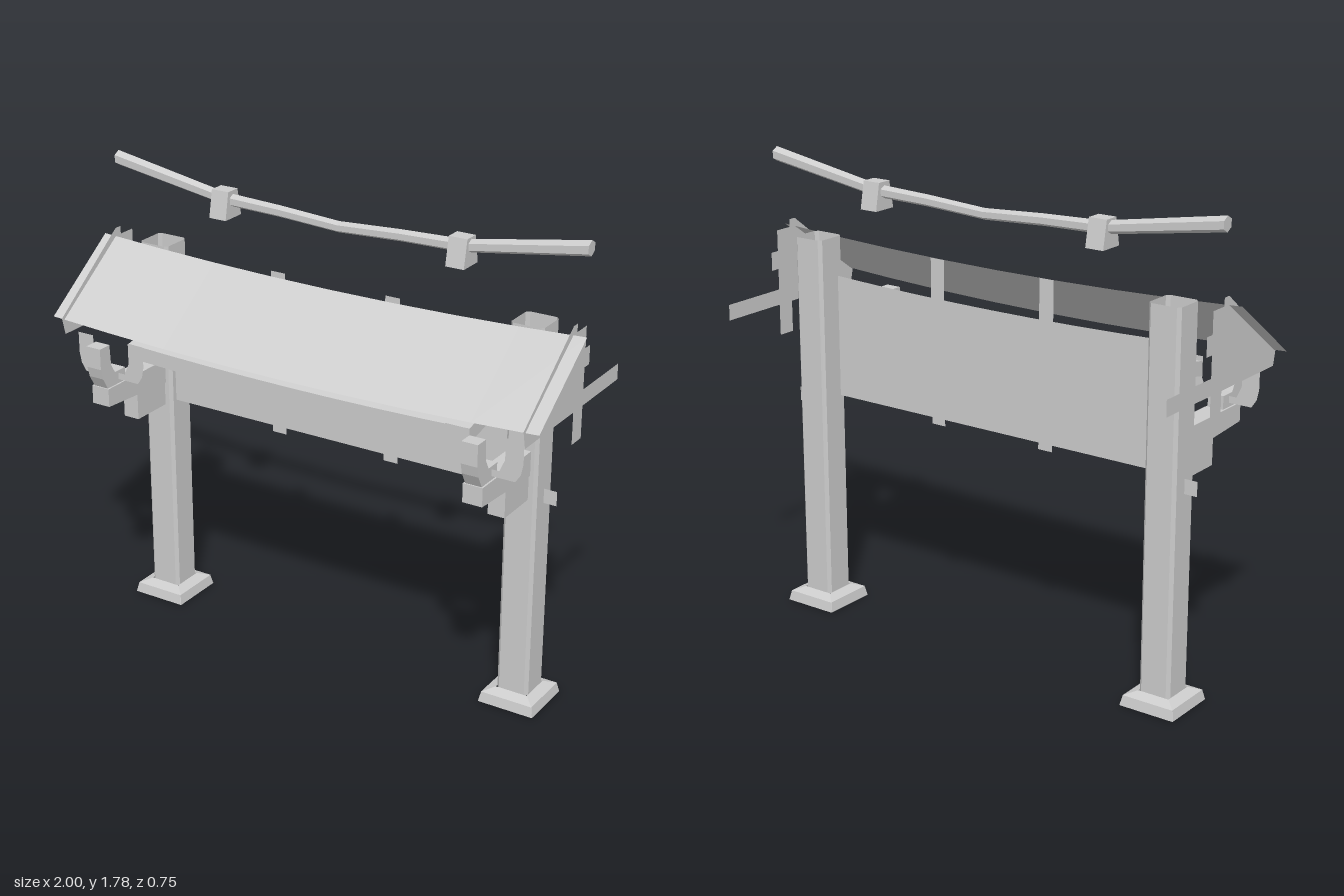
import * as THREE from 'three';

const stone = new THREE.MeshStandardMaterial({ color: 0xcccccc, side: THREE.DoubleSide, flatShading: true });
stone.name = 'plain grey';

// Roof line dips toward the middle
const sag = (x) => -0.03 * (1 - x * x);

function mesh(name, g) {
  const m = new THREE.Mesh(g, stone);
  m.name = name;
  return m;
}

// Skin a list of point rings; optionally close each ring and cap the ends
function loft(name, rings, closed = true, caps = true) {
  const pos = [];
  const n = rings[0].length;
  for (let i = 0; i < rings.length - 1; i++) {
    for (let j = 0; j < (closed ? n : n - 1); j++) {
      const k = (j + 1) % n;
      const a = rings[i][j], b = rings[i][k], c = rings[i + 1][k], d = rings[i + 1][j];
      pos.push(...a, ...b, ...c, ...a, ...c, ...d);
    }
  }
  if (caps) {
    const last = rings[rings.length - 1];
    for (let j = 1; j < n - 1; j++) {
      pos.push(...rings[0][0], ...rings[0][j + 1], ...rings[0][j]);
      pos.push(...last[0], ...last[j], ...last[j + 1]);
    }
  }
  const g = new THREE.BufferGeometry();
  g.setAttribute('position', new THREE.Float32BufferAttribute(pos, 3));
  g.computeVertexNormals();
  return mesh(name, g);
}

const shapeOf = (pts) => new THREE.Shape(pts.map((p) => new THREE.Vector2(p[0], p[1])));

// Flat plate in the xy plane
function frontPlate(name, pts, z) {
  const m = mesh(name, new THREE.ShapeGeometry(shapeOf(pts)));
  m.position.z = z;
  return m;
}

// Side profile of [z, y] points, centred on x with a width (0 = flat plate)
function sidePart(name, pts, x, width) {
  const s = shapeOf(pts.map(([z, y]) => [-z, y]));
  const g = width
    ? new THREE.ExtrudeGeometry(s, { depth: width, bevelEnabled: false })
    : new THREE.ShapeGeometry(s);
  g.translate(0, 0, -width / 2);
  g.rotateY(Math.PI / 2);
  g.translate(x, 0, 0);
  return mesh(name, g);
}

// Strip along x from [z, y] profile points, following the dip
function sagStrip(name, profile, half, closed) {
  const rings = [];
  for (let i = 0; i <= 8; i++) {
    const x = half * (1 - i / 4);
    rings.push(profile.map(([z, y]) => [x, y + sag(x), z]));
  }
  return loft(name, rings, closed, closed);
}

// Square ring with chamfered corners
function squareRing(x, y, z, h, c) {
  const k = h - c;
  return [[h, k], [k, h], [-k, h], [-h, k], [-h, -k], [-k, -h], [k, -h], [h, -k]]
    .map(([a, b]) => [x + a, y, z + b]);
}

const rect = (x0, x1, y0, y1) => [[x0, y0], [x1, y0], [x1, y1], [x0, y1]];

const PZ = -0.063; // post centre line

const gable = [
  [0.335, 1.245], [0, 1.5], [-0.03, 1.5], [-0.03, 1.47], [-0.1, 1.47], [-0.1, 1.39],
  [-0.135, 1.39], [-0.135, 1.32], [-0.1, 1.32], [-0.1, 1.24], [-0.375, 1.24], [-0.375, 1.18],
  [-0.1, 1.18], [-0.1, 1.06], [-0.03, 1.06], [-0.03, 1.18], [0.32, 1.18],
];
const hook = [
  [0.375, 1.18], [0.32, 1.18], [0.315, 1.1], [0.295, 1.065], [0.235, 1.065],
  [0.235, 1.015], [0.34, 1.015], [0.365, 1.06], [0.375, 1.1],
];
const cradleHalf = [[0.12, 1.03], [0.14, 1.06], [0.148, 1.1], [0.148, 1.18], [0.08, 1.18], [0.08, 1.1], [0.06, 1.055]];
const cradle = [...cradleHalf, ...cradleHalf.map(([x, y]) => [-x, y]).reverse()];

function buildSide(s) {
  const side = new THREE.Group();
  side.name = s > 0 ? 'leftSide' : 'rightSide';
  const px = s * 0.777;

  // Hollow post and its open footing
  side.add(loft('post', [squareRing(px, 0.05, PZ, 0.0625, 0.012), squareRing(px, 1.467, PZ, 0.0625, 0.012)], true, false));
  const foot = (y, h) => squareRing(px, y, PZ, h, 0.001);
  side.add(loft('footing', [foot(0, 0.11), foot(0.038, 0.102), foot(0.053, 0.0625)], true, false));

  // Gable plate with cross bar
  side.add(sidePart('gable', gable, s * 0.95, 0));

  // Stacked bracket in front of the post
  side.add(sidePart('lowerArm', [[0, 0.83], [0.17, 0.83], [0.17, 0.935], [0, 0.925]], px, 0.065));
  side.add(sidePart('upperArm', [[0, 0.922], [0.345, 0.945], [0.345, 1.015], [0, 1.015]], px, 0.075));
  side.add(sidePart('hook', hook, px, 0.062));
  side.add(frontPlate('cradle', cradle.map(([x, y]) => [px + x, y]), 0.275));

  // Tenon past the post and wall tabs
  side.add(frontPlate('tenon', rect(s * 0.835, s * 0.89, 0.8, 0.855), PZ));
  side.add(frontPlate('lowerTab', rect(s * 0.21, s * 0.27, 0.82, 0.845), -0.03));
  side.add(frontPlate('upperTab', rect(s * 0.21, s * 0.27, 1.295, 1.452), -0.03));

  // Tapered ridge saddle, open below
  const saddle = (y, h) => [[-0.036, -h], [-0.036, h], [0.036, h], [0.036, -h]]
    .map(([a, b]) => [s * 0.49 + a, y, PZ + b]);
  side.add(loft('ridgeSaddle', [saddle(1.61, 0.049), saddle(1.713, 0.029)], true, false));
  const top = mesh('saddleTop', new THREE.PlaneGeometry(0.072, 0.058).rotateX(-Math.PI / 2));
  top.position.set(s * 0.49, 1.713, PZ);
  side.add(top);
  return side;
}

export function createModel() {
  const gate = new THREE.Group();
  gate.name = 'gate';
  gate.add(buildSide(1), buildSide(-1));

  // Single sloping roof sheet
  gate.add(sagStrip('roof', [[0, 1.471], [0.322, 1.24]], 1, false));

  // Wedge-shaped eave board under the roof
  gate.add(sagStrip('eaveBoard', [[0.253, 1.13], [0.253, 1.185], [-0.03, 1.245], [-0.03, 1.185]], 0.71, true));

  // Wall panel with dipped upper edge
  gate.add(frontPlate('wallPanel', [
    [-0.72, 0.845], [0.72, 0.845],
    ...[0.72, 0.54, 0.36, 0.18, 0, -0.18, -0.36, -0.54, -0.72].map((x) => [x, 1.33 + sag(x)]),
  ], -0.03));

  // Six-sided ridge pole, rising toward the ends
  const path = [[-0.97, 1.755, 0.028], [-0.49, 1.677, 0.024], [-0.25, 1.67, 0.022], [0, 1.656, 0.021],
    [0.25, 1.67, 0.022], [0.49, 1.677, 0.024], [0.97, 1.755, 0.028]];
  gate.add(loft('ridgePole', path.map(([x, y, r]) => Array.from({ length: 6 }, (_, i) => {
    const a = (-i * Math.PI) / 3;
    return [x, y + r * Math.cos(a), PZ + r * Math.sin(a)];
  }))));
  return gate;
}
